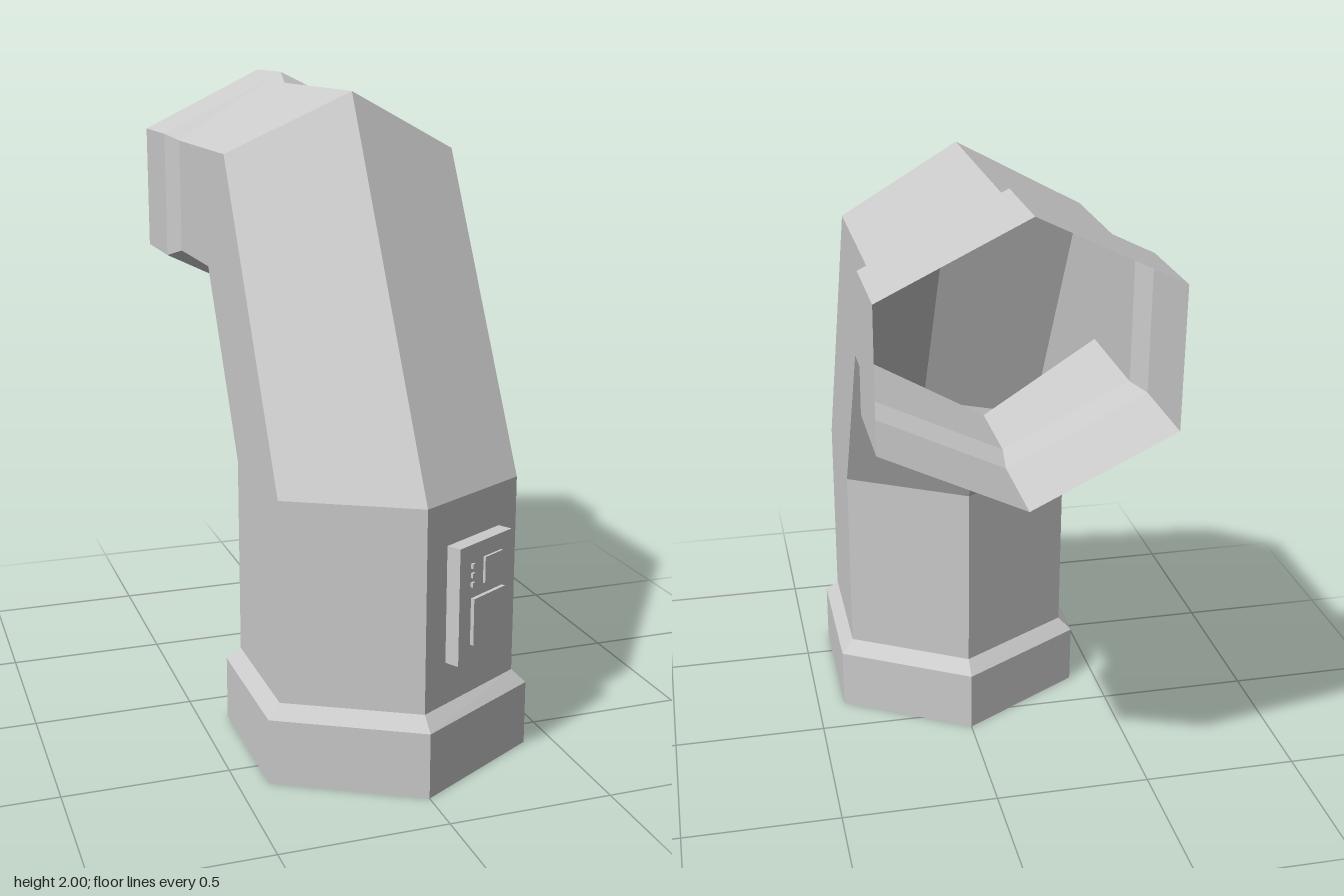
import * as THREE from 'three';

const grey = new THREE.MeshStandardMaterial({ color: 0xcccccc, flatShading: true });
const sheet = new THREE.MeshStandardMaterial({ color: 0xcccccc, flatShading: true, side: THREE.DoubleSide });

// Hexagonal ring: [z, y] of the outer ridge, outer corners, inner corners and inner ridge
function ring(w, outer, outerCorner, innerCorner, inner) {
  const p = (x, [z, y]) => [x, y, z];
  return [p(0, outer), p(w, outerCorner), p(w, innerCorner),
    p(0, inner), p(-w, innerCorner), p(-w, outerCorner)];
}
const level = (w, y, zs) => ring(w, ...zs.map((z) => [z, y]));
const upright = (w, z, ys) => ring(w, ...ys.map((y) => [z, y]));

// Open-ended shell joining successive rings
function loft(name, rings) {
  const pos = [];
  for (let i = 0; i < rings.length - 1; i++) {
    for (let j = 0; j < 6; j++) {
      const k = (j + 1) % 6;
      const [a, b, c, d] = [rings[i][j], rings[i][k], rings[i + 1][k], rings[i + 1][j]];
      pos.push(...a, ...b, ...c, ...a, ...c, ...d);
    }
  }
  const geo = new THREE.BufferGeometry();
  geo.setAttribute('position', new THREE.Float32BufferAttribute(pos, 3));
  geo.computeVertexNormals();
  const mesh = new THREE.Mesh(geo, sheet);
  mesh.name = name;
  return mesh;
}

function box(name, w, h, d, x, y, z) {
  const mesh = new THREE.Mesh(new THREE.BoxGeometry(w, h, d), grey);
  mesh.position.set(x, y, z);
  mesh.name = name;
  return mesh;
}

export function createModel() {
  const model = new THREE.Group();
  model.name = 'bentPipe';

  const wide = 0.41, slim = 0.37;
  const baseZ = [0.85, 0.615, 0.145, -0.09];
  const pipeZ = [0.805, 0.595, 0.17, -0.04];
  const pipeY = [1.965, 1.78, 1.41, 1.23];
  const endY = [2.0, 1.8, 1.39, 1.19];

  const baseTop = level(slim, 0.24, pipeZ);
  const endStart = upright(slim, -0.52, pipeY);

  // Flared foot
  model.add(loft('baseCollar', [level(wide, 0, baseZ), level(wide, 0.2, baseZ), baseTop]));

  // Upright, slanted and horizontal runs
  model.add(loft('pipe', [
    baseTop,
    level(slim, 0.855, pipeZ),
    ring(slim, [0.165, 1.965], [0.06, 1.78], [-0.155, 1.41], [-0.26, 1.23]),
    endStart,
  ]));

  // Flared rear mouth
  model.add(loft('mouthCollar', [endStart, upright(wide, -0.565, endY), upright(wide, -0.85, endY)]));

  // Control panel lying on the front left face
  const panel = new THREE.Group();
  panel.name = 'controlPanel';
  panel.position.set(0.1875, 0.5475, 0.6986);
  panel.rotation.y = Math.atan2(0.21, 0.37);
  panel.add(box('panelPlate', 0.247, 0.355, 0.055, 0, 0, 0.0185));
  panel.add(box('largeScreen', 0.15, 0.142, 0.02, 0.006, -0.055, 0.048));
  panel.add(box('smallScreen', 0.085, 0.08, 0.016, 0.03, 0.0875, 0.046));
  for (let i = 0; i < 3; i++) {
    panel.add(box('button', 0.012, 0.014, 0.016, -0.066, 0.058 + i * 0.028, 0.046));
  }
  model.add(panel);

  return model;
}
